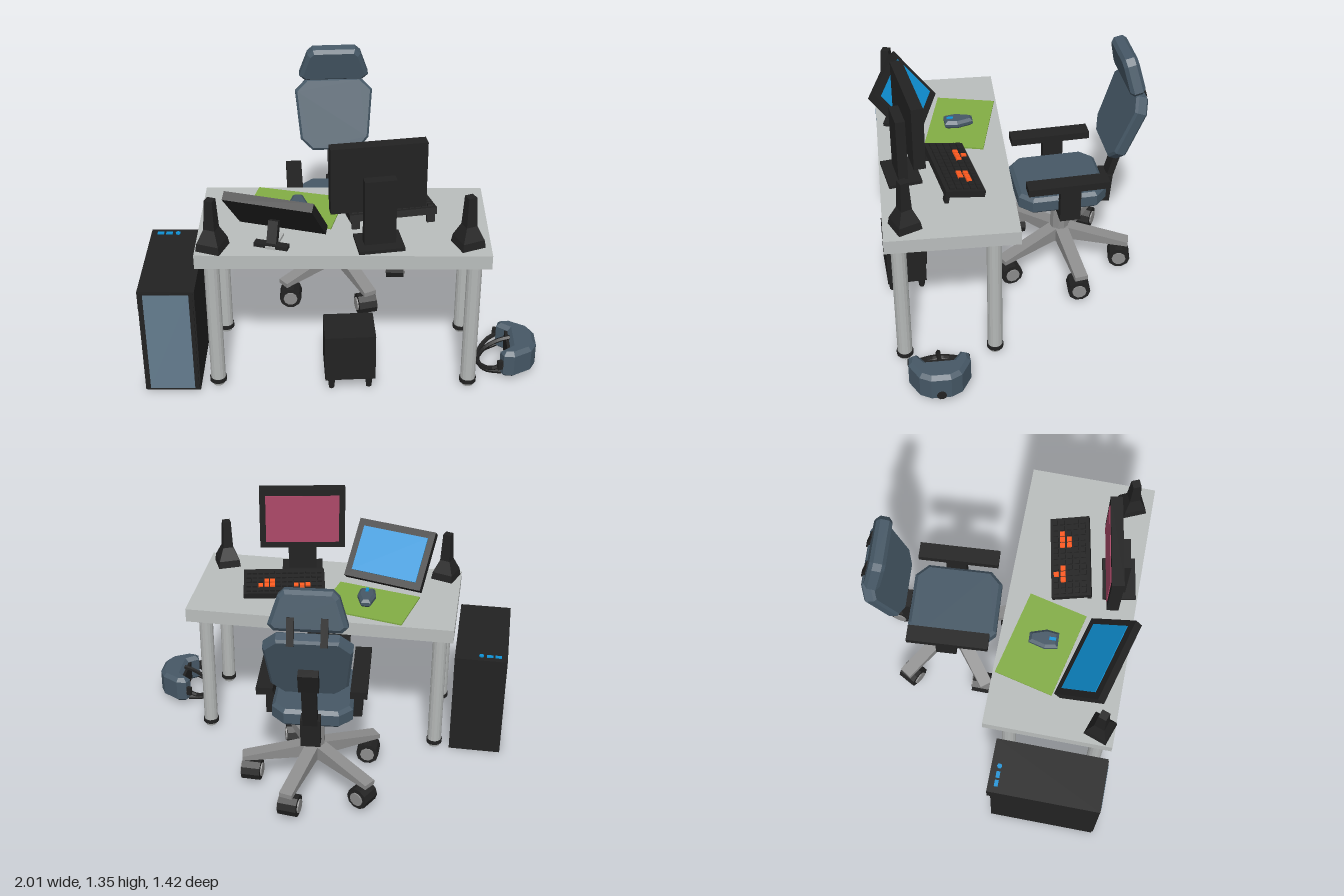
import * as THREE from 'three';

const mat = (color) => new THREE.MeshStandardMaterial({ color, flatShading: true, side: THREE.DoubleSide });
const BLACK = mat(0x222222), SLATE = mat(0x465866), METAL = mat(0xb4b7b6), GREY = mat(0x8c8c8c), TOP = mat(0xb9bdbc);
const BLUE = mat(0x0f92d6), PINK = mat(0xad4868), ORANGE = mat(0xff5a1f), GREEN = mat(0x82ad44), GLASS = mat(0x647c8e);

function add(parent, name, geo, m, x = 0, y = 0, z = 0, rx = 0, ry = 0, rz = 0) {
  const mesh = new THREE.Mesh(geo, m);
  mesh.name = name;
  mesh.position.set(x, y, z);
  mesh.rotation.set(rx, ry, rz);
  parent.add(mesh);
  return mesh;
}
function group(parent, name, x = 0, y = 0, z = 0, ry = 0, rx = 0) {
  const g = new THREE.Group();
  g.name = name;
  g.position.set(x, y, z);
  g.rotation.set(rx, ry, 0, 'YXZ');
  parent.add(g);
  return g;
}
const box = (w, h, d) => new THREE.BoxGeometry(w, h, d);
const cyl = (r0, r1, h, n = 12) => new THREE.CylinderGeometry(r0, r1, h, n);

// Polygon slab, centred in depth, with a small flat bevel
function slab(points, depth, bevel = 0) {
  const shape = new THREE.Shape(points.map(([x, y]) => new THREE.Vector2(x, y)));
  const geo = new THREE.ExtrudeGeometry(shape, {
    depth: depth - 2 * bevel, bevelEnabled: bevel > 0, bevelSize: bevel, bevelThickness: bevel, bevelOffset: -bevel, bevelSegments: 1,
  });
  return geo.translate(0, 0, bevel - depth / 2);
}
// Cushion outline: half widths at bottom and top, half height, corner cut
const cushion = (b, t, h, c) => [[-b + c, -h], [b - c, -h], [b, -h + c], [t, h - c], [t - c, h], [-t + c, h], [-t, h - c], [-b, -h + c]];

function buildDesk(root) {
  const desk = group(root, 'desk');
  add(desk, 'tableTop', box(1.43, 0.075, 0.66), TOP, 0.005, 0.782, 0.345);
  for (const x of [-0.635, 0.643]) for (const z of [0.14, 0.605]) {
    add(desk, 'tableLeg', cyl(0.038, 0.038, 0.725, 16), METAL, x, 0.383, z);
    add(desk, 'legRing', cyl(0.043, 0.043, 0.022, 16), BLACK, x, 0.033, z);
    add(desk, 'legFoot', cyl(0.036, 0.03, 0.02, 16), METAL, x, 0.012, z);
  }
}

function buildComputer(root) {
  const pc = group(root, 'computerCase', -0.86, 0, 0);
  add(pc, 'caseBody', box(0.28, 0.5, 0.56), BLACK, 0, 0.255, 0.39);
  add(pc, 'caseTop', box(0.28, 0.105, 0.585), BLACK, 0, 0.555, 0.383);
  add(pc, 'casePanel', box(0.265, 0.59, 0.01), BLACK, 0, 0.305, 0.673);
  add(pc, 'panelWindow', box(0.225, 0.57, 0.01), GLASS, 0, 0.307, 0.676);
  for (const x of [-0.09, -0.045]) add(pc, 'port', box(0.034, 0.008, 0.02), BLUE, x, 0.609, 0.133);
  add(pc, 'powerButton', cyl(0.013, 0.013, 0.012, 8), BLUE, 0, 0.609, 0.133);
}

function buildChair(root) {
  const chair = group(root, 'officeChair', -0.03, 0, -0.29, 0.07);
  add(chair, 'hub', cyl(0.05, 0.055, 0.21, 10), GREY, 0, 0.275, 0);
  add(chair, 'gasLift', cyl(0.03, 0.03, 0.14, 10), GREY, 0, 0.43, 0);
  add(chair, 'mechanism', box(0.09, 0.05, 0.16), BLACK, 0, 0.485, 0);

  // Tapered legs with casters
  const spin = [-0.1, 0.2, 1.5, 1.0, -0.2];
  [-6, 66, 145, 218, 288].forEach((deg, i) => {
    const a = THREE.MathUtils.degToRad(deg);
    const geo = box(0.36, 0.08, 0.07).translate(0.205, 0.225, 0);
    const p = geo.attributes.position;
    for (let k = 0; k < p.count; k++) {
      if (p.getX(k) > 0.2) p.setY(k, p.getY(k) > 0.22 ? 0.185 : 0.16);
    }
    add(chair, 'baseLeg', geo, GREY, 0, 0, 0, 0, -a);
    const c = group(chair, 'caster', 0.335 * Math.cos(a), 0.085, 0.335 * Math.sin(a), spin[i]);
    add(c, 'wheel', cyl(0.06, 0.06, 0.1, 10), BLACK, 0, 0, 0, 0, 0, Math.PI / 2);
    add(c, 'wheelHub', cyl(0.038, 0.038, 0.115, 10), GREY, 0, 0, 0, 0, 0, Math.PI / 2);
    add(c, 'stem', cyl(0.018, 0.018, 0.1, 8), BLACK, 0, 0.05, 0);
  });

  // Cushions
  add(chair, 'seat', slab(cushion(0.205, 0.205, 0.237, 0.065), 0.095, 0.018), SLATE, 0, 0.548, 0.02, -Math.PI / 2);
  add(chair, 'backrest', slab(cushion(0.19, 0.215, 0.2, 0.065), 0.068, 0.012), SLATE, 0, 0.945, -0.315, -0.35);
  add(chair, 'headrest', slab(cushion(0.19, 0.145, 0.1, 0.03), 0.08, 0.018), SLATE, 0, 1.25, -0.332, 0.23);
  for (const x of [-0.08, 0.08]) add(chair, 'headrestPost', box(0.035, 0.14, 0.02), BLACK, x, 1.165, -0.392, 0.28);

  // Back support
  add(chair, 'backBracket', box(0.1, 0.165, 0.06), BLACK, 0, 0.502, -0.24, -0.08);
  add(chair, 'underBar', box(0.08, 0.03, 0.26), BLACK, 0, 0.488, -0.12);
  add(chair, 'backPost', box(0.075, 0.42, 0.035), BLACK, 0, 0.71, -0.3, -0.27);
  add(chair, 'postPlate', box(0.1, 0.12, 0.05), BLACK, 0, 0.865, -0.345, -0.33);

  // Armrests
  add(chair, 'armCrossbar', box(0.49, 0.035, 0.11), BLACK, 0, 0.488, 0);
  for (const s of [-1, 1]) {
    add(chair, 'armPost', box(0.045, 0.21, 0.11), BLACK, s * 0.225, 0.575, 0);
    add(chair, 'armPad', box(0.085, 0.04, 0.43), BLACK, s * 0.235, 0.695, 0.015);
  }
}

function buildMonitor(root) {
  const m = group(root, 'monitor', 0.17, 0, 0.515, 0.175);
  add(m, 'monitorFrame', box(0.465, 0.345, 0.06), BLACK, 0, 1.168, 0);
  add(m, 'monitorScreen', box(0.4, 0.275, 0.006), PINK, 0, 1.168, -0.031);
  add(m, 'monitorPost', box(0.155, 0.36, 0.05), BLACK, 0, 1, 0.055);
  add(m, 'monitorBase', box(0.225, 0.018, 0.17), BLACK, 0, 0.828, 0.05);
}

function buildDisplay(root) {
  const d = group(root, 'tiltedDisplay', -0.32, 0, 0.525, -0.27);
  const panel = group(d, 'displayPanel', 0, 0.968, 0, 0, 0.73);
  add(panel, 'displayFrame', box(0.445, 0.335, 0.045), BLACK);
  add(panel, 'displayScreen', box(0.375, 0.255, 0.006), BLUE, 0, 0, -0.024);
  add(d, 'displayPost', box(0.05, 0.12, 0.035), BLACK, 0, 0.885, 0.045, -0.35);
  add(d, 'displayFoot', box(0.17, 0.02, 0.04), BLACK, 0, 0.832, 0.075);
  add(d, 'displayFootBar', box(0.05, 0.015, 0.14), METAL, 0, 0.828, 0.03);
}

function buildDeskItems(root) {
  // Keyboard, raised at its far edge
  const kb = group(root, 'keyboard', 0.235, 0.864, 0.3, 0.19, -0.2);
  add(kb, 'keyboardBody', box(0.44, 0.035, 0.205), BLACK);
  const orange = new Set(['3,0', '2,1', '3,1', '4,1', '9,2', '8,1', '9,1', '10,1', '8,2']);
  for (let c = 0; c < 13; c++) for (let r = 0; r < 5; r++) {
    const o = orange.has(`${c},${r}`);
    add(kb, o ? 'accentKey' : 'key', box(0.025, 0.012, 0.025), o ? ORANGE : BLACK, -0.192 + c * 0.032, 0.022, -0.075 + r * 0.036);
  }
  for (const x of [-0.19, 0.19]) add(kb, 'keyboardFoot', box(0.04, 0.05, 0.02), BLACK, x, -0.035, 0.085);

  // Mouse on its mat
  add(root, 'mouseMat', box(0.46, 0.008, 0.312), GREEN, -0.245, 0.824, 0.23, 0, -0.225);
  const mouse = group(root, 'mouse', -0.225, 0.85, 0.24, 0.05);
  const outline = [[-0.025, 0.075], [0.025, 0.075], [0.05, -0.01], [0.04, -0.075], [-0.04, -0.075], [-0.05, -0.01]];
  add(mouse, 'mouseBody', slab(outline, 0.045, 0.014), SLATE, 0, 0, 0, -Math.PI / 2);
  add(mouse, 'scrollWheel', box(0.016, 0.014, 0.035), BLUE, 0, 0.02, 0.045);

  // Speakers: square base narrowing into a slim tower
  const profile = [[0, 0], [0.088, 0], [0.08, 0.04], [0.04, 0.11], [0.03, 0.265], [0, 0.265]].map(([x, y]) => new THREE.Vector2(x, y));
  for (const [x, z, ry] of [[-0.625, 0.6, 0.45], [0.61, 0.565, 1.2]]) {
    add(root, 'speaker', new THREE.LatheGeometry(profile, 4), BLACK, x, 0.82, z, 0, ry);
  }
}

function buildSubwoofer(root) {
  const s = group(root, 'subwoofer', 0.035, 0, 0.575, 0.07);
  add(s, 'subwooferBox', box(0.255, 0.26, 0.21), BLACK, 0, 0.21, 0);
  add(s, 'coneRing', new THREE.TorusGeometry(0.088, 0.012, 6, 16), BLACK, 0, 0.21, -0.106);
  add(s, 'cone', cyl(0.05, 0.07, 0.012, 16), BLACK, 0, 0.21, -0.109, -Math.PI / 2);
  for (const x of [-0.095, 0.095]) for (const z of [-0.08, 0.08]) {
    add(s, 'subwooferFoot', cyl(0.022, 0.015, 0.065, 6), BLACK, x, 0.052, z);
  }
}

function buildHeadset(root) {
  const h = group(root, 'headset', 0.9, 0, 0.44);
  // Curved visor outline seen from above
  const outline = [[-0.075, 0.15], [-0.02, 0.155], [0.07, 0.105], [0.1, 0.05], [0.1, -0.05], [0.07, -0.105], [-0.02, -0.155],
    [-0.075, -0.15], [-0.09, -0.11], [-0.035, -0.07], [-0.035, 0.07], [-0.09, 0.11]];
  add(h, 'visor', slab(outline, 0.155, 0.02), SLATE, 0, 0.1, 0, -Math.PI / 2);
  add(h, 'visorLining', box(0.02, 0.11, 0.16), BLACK, -0.04, 0.1, 0);
  add(h, 'visorKnob', cyl(0.024, 0.024, 0.012, 10), BLACK, 0.1, 0.06, 0, 0, 0, Math.PI / 2);
  // Straps
  const strap = (name, pts) => {
    const curve = new THREE.CatmullRomCurve3(pts.map((p) => new THREE.Vector3(...p)));
    add(h, name, new THREE.TubeGeometry(curve, 14, 0.012, 5), BLACK);
  };
  strap('backStrap', [[-0.07, 0.1, 0.14], [-0.14, 0.06, 0.12], [-0.2, 0.03, 0], [-0.14, 0.06, -0.12], [-0.07, 0.1, -0.14]]);
  strap('lowerStrap', [[-0.08, 0.04, 0.12], [-0.16, 0.025, 0.08], [-0.19, 0.02, 0], [-0.16, 0.025, -0.08], [-0.08, 0.04, -0.12]]);
  strap('topStrap', [[-0.03, 0.17, 0], [-0.09, 0.15, 0], [-0.16, 0.1, 0], [-0.2, 0.03, 0]]);
  for (const s of [-1, 1]) add(h, 'strapClip', box(0.05, 0.05, 0.02), BLACK, -0.08, 0.1, s * 0.14, 0, s * 0.3);
}

export function createModel() {
  const root = new THREE.Group();
  root.name = 'workstation';
  for (const build of [buildDesk, buildComputer, buildChair, buildMonitor, buildDisplay, buildDeskItems, buildSubwoofer, buildHeadset]) build(root);
  return root;
}
